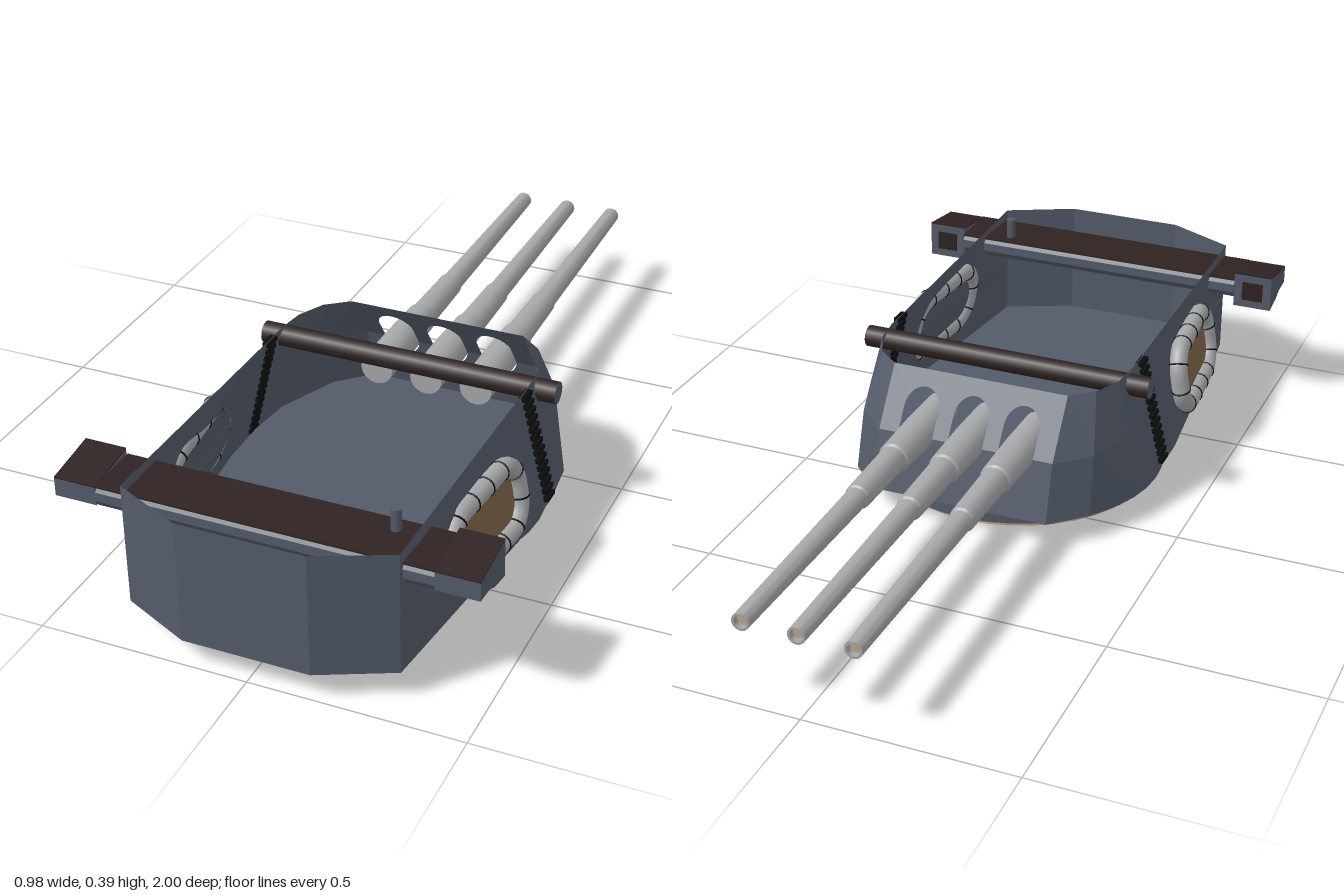
import * as THREE from 'three';
import { toCreasedNormals } from 'three/addons/utils/BufferGeometryUtils.js';

const paint = (name, color) =>
  new THREE.MeshStandardMaterial({ name, color, side: THREE.DoubleSide });

export function createModel() {
  const slate = paint('slate', 0x535b69);
  const steel = paint('light steel', 0xa6a7a9);
  const brown = paint('dark brown', 0x2f2322);
  const black = paint('black', 0x0c0c0e);
  const wood = paint('wood', 0x80654a);
  const tan = paint('tan', 0xc0a286);

  const model = new THREE.Group();
  model.name = 'gunTurret';
  const add = (name, geo, mat, x = 0, y = 0, z = 0, parent = model) => {
    const mesh = new THREE.Mesh(geo, mat);
    mesh.name = name;
    mesh.position.set(x, y, z);
    parent.add(mesh);
    return mesh;
  };

  // Hull outlines for the +x half, front to rear: [x, z]
  const low = [[0.225, -0.17], [0.307, -0.09], [0.375, 0.07], [0.388, 0.19], [0.386, 0.32], [0.32, 0.92], [0.15, 1]];
  const top = [[0.225, -0.035], [0.28, 0.01], [0.312, 0.08], [0.32, 0.15], [0.32, 0.32], [0.32, 0.92], [0.15, 1]];
  const bulge = [0.0275, 0.018, 0.006, 0, 0, 0, 0];
  const Y0 = 0.065, Y1 = 0.21;
  const roofY = z => 0.345 + 0.02 * (z + 0.035);
  const frontZ = y => y < Y1
    ? THREE.MathUtils.mapLinear(y, Y0, Y1, -0.17, -0.13)
    : THREE.MathUtils.mapLinear(y, Y1, 0.345, -0.13, -0.035);

  // Open-topped side and rear walls, lofted through three levels
  const rings = low.map(([x, z], i) => {
    const [tx, tz] = top[i], h = roofY(tz), t = (Y1 - Y0) / (h - Y0);
    const mx = x + (tx - x) * t, mz = z + (tz - z) * t;
    return [[x, Y0, z], i === 0 ? [mx, Y1, -0.13] : [mx + bulge[i] * 0.5, Y1, mz - bulge[i]], [tx, h, tz]];
  });
  const flip = p => [-p[0], p[1], p[2]];
  const loop = [...rings, ...rings.slice().reverse().map(r => r.map(flip))];
  const verts = [];
  for (let i = 0; i < loop.length - 1; i++) {
    for (let j = 0; j < 2; j++) {
      const a = loop[i][j], b = loop[i + 1][j], c = loop[i + 1][j + 1], d = loop[i][j + 1];
      verts.push(...a, ...d, ...c, ...a, ...c, ...b);
    }
  }
  const walls = new THREE.BufferGeometry();
  walls.setAttribute('position', new THREE.Float32BufferAttribute(verts, 3));
  walls.computeVertexNormals();
  add('hullWalls', walls, slate);

  // Floor
  const outline = [...low, ...low.slice().reverse().map(([x, z]) => [-x, z])];
  const floor = new THREE.ShapeGeometry(new THREE.Shape(outline.map(([x, z]) => new THREE.Vector2(x, -z))));
  add('hullFloor', floor.rotateX(-Math.PI / 2), slate, 0, Y0, 0);

  // Sloping front plate in two panels, notched to leave three rounded gun ports
  const gunX = [-0.13, 0, 0.13], portR = 0.045;
  const frontPanel = (name, edgeY, arcY, upper) => {
    const s = new THREE.Shape();
    s.moveTo(-0.225, edgeY);
    s.lineTo(-0.225, Y1);
    for (const x of gunX) {
      s.lineTo(x - portR, Y1);
      s.lineTo(x - portR, arcY);
      s.absarc(x, arcY, portR, Math.PI, upper ? 0 : Math.PI * 2, upper);
      s.lineTo(x + portR, Y1);
    }
    s.lineTo(0.225, Y1);
    s.lineTo(0.225, edgeY);
    const g = new THREE.ShapeGeometry(s, 10), p = g.attributes.position;
    for (let i = 0; i < p.count; i++) p.setZ(i, frontZ(p.getY(i)));
    g.computeVertexNormals();
    add(name, g, slate);
  };
  frontPanel('lowerFrontPlate', Y0, Y1, false);
  frontPanel('upperFrontPlate', 0.345, 0.265, true);

  // Rotating base with a tan rim below
  add('baseDrum', toCreasedNormals(new THREE.CylinderGeometry(0.37, 0.37, 0.046, 40), 0.6), slate, 0, 0.042, 0.225);
  add('baseRim', new THREE.CylinderGeometry(0.348, 0.348, 0.02, 40, 1, true), tan, 0, 0.01, 0.225);

  // Stepped gun barrels
  const barrel = [[0.001, -0.03], [0.041, -0.03], [0.042, 0.1], [0.039, 0.25], [0.034, 0.255], [0.031, 0.445],
    [0.027, 0.45], [0.021, 1], [0.015, 1], [0.015, 0.97]].map(p => new THREE.Vector2(...p));
  const barrelGeo = toCreasedNormals(new THREE.LatheGeometry(barrel, 20).rotateX(-Math.PI / 2), 0.6);
  for (const x of gunX) {
    add('gunBarrel', barrelGeo, steel, x, 0.21, 0);
    add('gunBore', new THREE.CircleGeometry(0.015, 16).rotateY(Math.PI), tan, x, 0.21, -0.985);
  }

  // Front cross beam
  add('crossBeam', new THREE.CylinderGeometry(0.027, 0.027, 0.75, 16, 1, true).rotateZ(Math.PI / 2), brown, 0, 0.315, 0.133);

  // Prism with a [z, y] profile, running along x
  const prism = (pts, width) => new THREE.ExtrudeGeometry(
    new THREE.Shape(pts.map(([z, y]) => new THREE.Vector2(-z, y))), { depth: width, bevelEnabled: false })
    .translate(0, 0, -width / 2).rotateY(Math.PI / 2);

  // Rangefinder
  add('rangefinderTube', prism([[0.9, 0.285], [0.91, 0.3], [0.91, 0.322], [0.9, 0.334], [0.78, 0.334], [0.77, 0.322], [0.77, 0.3], [0.78, 0.285]], 0.78), slate);
  add('rangefinderCover', new THREE.BoxGeometry(0.78, 0.004, 0.14), brown, 0, 0.336, 0.84);

  // Life raft path: rounded rectangle
  const w = 0.157, h = 0.08, r = 0.065, q = Math.PI / 2;
  const path = new THREE.Path();
  path.absarc(w - r, h - r, r, 0, q);
  path.absarc(r - w, h - r, r, q, 2 * q);
  path.absarc(r - w, r - h, r, 2 * q, 3 * q);
  path.absarc(w - r, r - h, r, 3 * q, 4 * q);
  path.closePath();
  const pts = path.getSpacedPoints(48).slice(0, 48).map(p => new THREE.Vector3(p.x, p.y, 0));
  const raftCurve = new THREE.CatmullRomCurve3(pts, true);
  const raftTube = new THREE.TubeGeometry(raftCurve, 64, 0.023, 12, true);
  const bandGeo = new THREE.TorusGeometry(0.0232, 0.0022, 6, 16);
  const forward = new THREE.Vector3(0, 0, 1);

  for (const s of [1, -1]) {
    add('beamEnd', new THREE.CircleGeometry(0.027, 16).rotateY(s * q), slate, s * 0.375, 0.315, 0.133);

    // Rangefinder end housing, sloping brown lid and window
    add('rangefinderEnd', prism([[0.91, 0.29], [0.91, 0.334], [0.775, 0.353], [0.775, 0.262], [0.83, 0.272], [0.86, 0.286]], 0.1), slate, s * 0.44, 0, 0);
    add('rangefinderLid', prism([[0.91, 0.334], [0.91, 0.337], [0.775, 0.356], [0.775, 0.353]], 0.1), brown, s * 0.44, 0, 0);
    add('rangefinderWindow', new THREE.BoxGeometry(0.055, 0.05, 0.004), brown, s * 0.44, 0.308, 0.774);

    // Ladder rungs following the sloping wall
    for (let i = 0; i < 14; i++) {
      const t = i / 13, y = 0.085 + 0.255 * t;
      add('ladderRung', new THREE.BoxGeometry(0.018, 0.011, 0.044), black, s * (0.386 - 0.062 * t), y, 0.213);
    }

    // Life raft with rope bands and a wooden floor, leaning on the wall
    const raft = new THREE.Group();
    raft.name = 'lifeRaft';
    raft.position.set(s * 0.358, 0.208, 0.54);
    raft.rotation.set(0, -s * 0.09, s * 0.17);
    const body = new THREE.Group();
    body.name = 'raftBody';
    body.rotation.y = q;
    raft.add(body);
    add('raftTube', raftTube, steel, 0, 0, 0, body);
    add('raftFloor', new THREE.ShapeGeometry(new THREE.Shape(path.getSpacedPoints(48))), wood, 0, 0, 0, body);
    for (let i = 0; i < 12; i++) {
      const u = (i + 0.5) / 12, p = raftCurve.getPointAt(u);
      const band = add('raftBand', bandGeo, black, p.x, p.y, 0, body);
      band.quaternion.setFromUnitVectors(forward, raftCurve.getTangentAt(u));
    }
    model.add(raft);
  }

  // Small roof pipe
  add('roofPipe', toCreasedNormals(new THREE.CylinderGeometry(0.012, 0.012, 0.055, 12), 0.6), slate, 0.263, 0.363, 0.807);

  return model;
}
